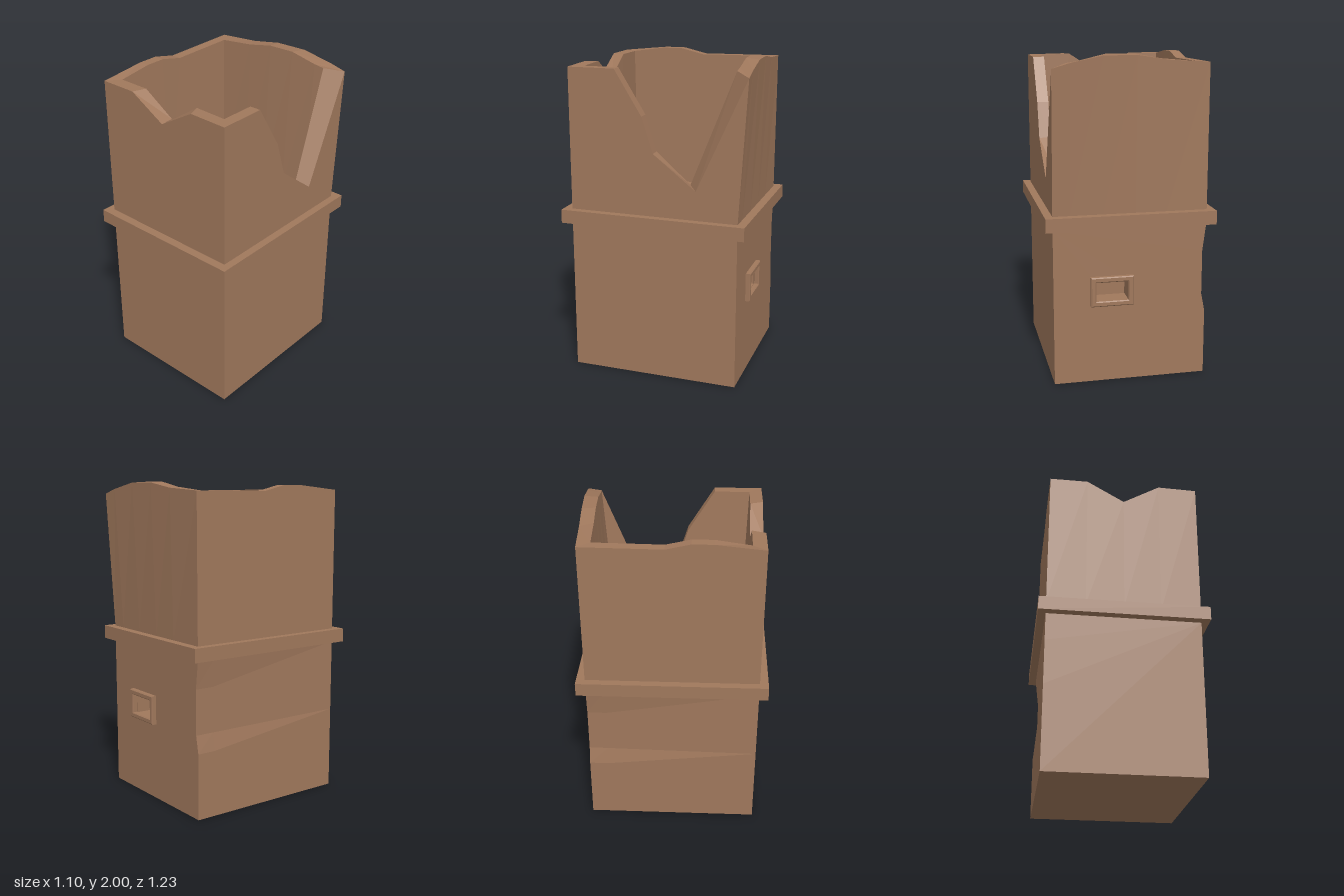
import * as THREE from 'three';

const HX = 0.475, HZ = 0.535;      // half size of the tower
const LEDGE_Y = 0.975, LEDGE_H = 0.085;
const RECESS = 0.12;

const material = new THREE.MeshStandardMaterial({ color: 0xa0785c, flatShading: true });

function addMesh(parent, name, geometry) {
  const mesh = new THREE.Mesh(geometry, material);
  mesh.name = name;
  parent.add(mesh);
  return mesh;
}

function rectPath(Type, x0, x1, y0, y1) {
  return new Type([[x0, y0], [x1, y0], [x1, y1], [x0, y1]].map(p => new THREE.Vector2(...p)));
}

// Slab of the lower tower; the dent in its right edge fades out towards the front
function lowerSlab(z0, z1, hole) {
  const dent = 0.022;
  const shape = new THREE.Shape([
    [-HX, 0], [HX, 0], [HX, LEDGE_Y], [-HX, LEDGE_Y],
    [-HX + dent, 0.8], [-HX + dent, 0.52], [-HX, 0.41],
  ].map(p => new THREE.Vector2(...p)));
  if (hole) shape.holes.push(hole);
  const geometry = new THREE.ExtrudeGeometry(shape, { depth: z1 - z0, bevelEnabled: false });
  geometry.translate(0, 0, z0);
  const pos = geometry.attributes.position;
  for (let i = 0; i < pos.count; i++) {
    const x = pos.getX(i);
    if (x < -HX + dent + 0.001) {
      pos.setX(i, -HX + (x + HX) * (HZ - pos.getZ(i)) / (2 * HZ));
    }
  }
  geometry.computeVertexNormals();
  return geometry;
}

// Hollow upper walls with a broken rim: each rim point is an outer and an inner [x, y, z]
function brokenWalls() {
  const rim = [];
  const add = (outer, inner) => rim.push({ outer, inner });
  // front wall, with a V notch
  add([-HX, 1.95, HZ], [-0.409, 1.95, 0.452]);
  add([-0.235, 1.95, HZ], [-0.205, 1.95, 0.453]);
  add([0, 1.815, HZ], [0, 1.82, 0.454]);
  add([0.23, 1.95, HZ], [0.2, 1.95, 0.455]);
  add([HX, 1.945, HZ], [0.404, 1.945, 0.456]);
  // left wall, broken down deeply
  for (const [z, y] of [[0.235, 1.945], [0.065, 1.67], [-0.005, 1.45]]) {
    add([HX, y, z], [0.404, y, z]);
  }
  add([HX, 1.24, -0.275], [0.404, 1.26, -0.22]);
  // back wall, leaning outwards at its left corner
  add([HX, 1.925, -0.585], [0.38, 1.95, -0.49]);
  for (const [x, y] of [[0.37, 1.955], [0.17, 1.995], [-0.03, 1.995], [-0.22, 1.965]]) {
    const t = (x + HX) / (2 * HX);
    add([x, y, -0.538 - 0.047 * t], [x * 0.85, y + 0.005, -0.461 - 0.029 * t]);
  }
  add([-HX, 1.95, -0.538], [-0.409, 1.95, -0.461]);
  // right wall, with a low bump
  for (const [z, y] of [[-0.04, 1.945], [0.11, 1.98], [0.24, 1.98]]) {
    add([-HX, y, z], [-0.409, y, z]);
  }

  const base = LEDGE_Y + LEDGE_H - 0.005;
  const foot = (p, hx, hz) => [
    THREE.MathUtils.clamp(p[0], -hx, hx), base, THREE.MathUtils.clamp(p[2], -hz, hz),
  ];
  const verts = [];
  const quad = (a, b, c, d) => verts.push(...a, ...b, ...c, ...a, ...c, ...d);
  rim.forEach((a, i) => {
    const b = rim[(i + 1) % rim.length];
    quad(foot(a.outer, HX, HZ), foot(b.outer, HX, HZ), b.outer, a.outer);
    quad(a.outer, b.outer, b.inner, a.inner);
    quad(a.inner, b.inner, foot(b.inner, 0.383, 0.43), foot(a.inner, 0.383, 0.43));
  });
  const geometry = new THREE.BufferGeometry();
  geometry.setAttribute('position', new THREE.Float32BufferAttribute(verts, 3));
  geometry.computeVertexNormals();
  return geometry;
}

export function createModel() {
  const tower = new THREE.Group();
  tower.name = 'ruinedTower';
  const body = new THREE.Group();
  body.name = 'towerBody';
  body.rotation.y = -0.05;
  tower.add(body);

  // Lower storey, with a window recess in the back
  const wx0 = -0.015, wx1 = 0.25, wy0 = 0.49, wy1 = 0.675, border = 0.027;
  const opening = () => rectPath(THREE.Path, wx0 + border, wx1 - border, wy0 + border, wy1 - border);
  addMesh(body, 'lowerBackWall', lowerSlab(-HZ, -HZ + RECESS, opening()));
  addMesh(body, 'lowerTower', lowerSlab(-HZ + RECESS, HZ));

  // Window frame with softened edges
  const bevel = 0.006;
  const frameShape = rectPath(THREE.Shape, wx0 + bevel, wx1 - bevel, wy0 + bevel, wy1 - bevel);
  frameShape.holes.push(opening());
  const frame = new THREE.ExtrudeGeometry(frameShape, {
    depth: 0.024, bevelSize: bevel, bevelThickness: bevel, bevelSegments: 1,
  });
  addMesh(body, 'windowFrame', frame).position.z = -HZ - 0.024;

  // Ledge between the storeys, also the floor of the upper one
  const ledge = new THREE.BoxGeometry(1.046, LEDGE_H, 1.177);
  addMesh(body, 'ledge', ledge).position.y = LEDGE_Y + LEDGE_H / 2;

  addMesh(body, 'brokenUpperWalls', brokenWalls());
  return tower;
}
